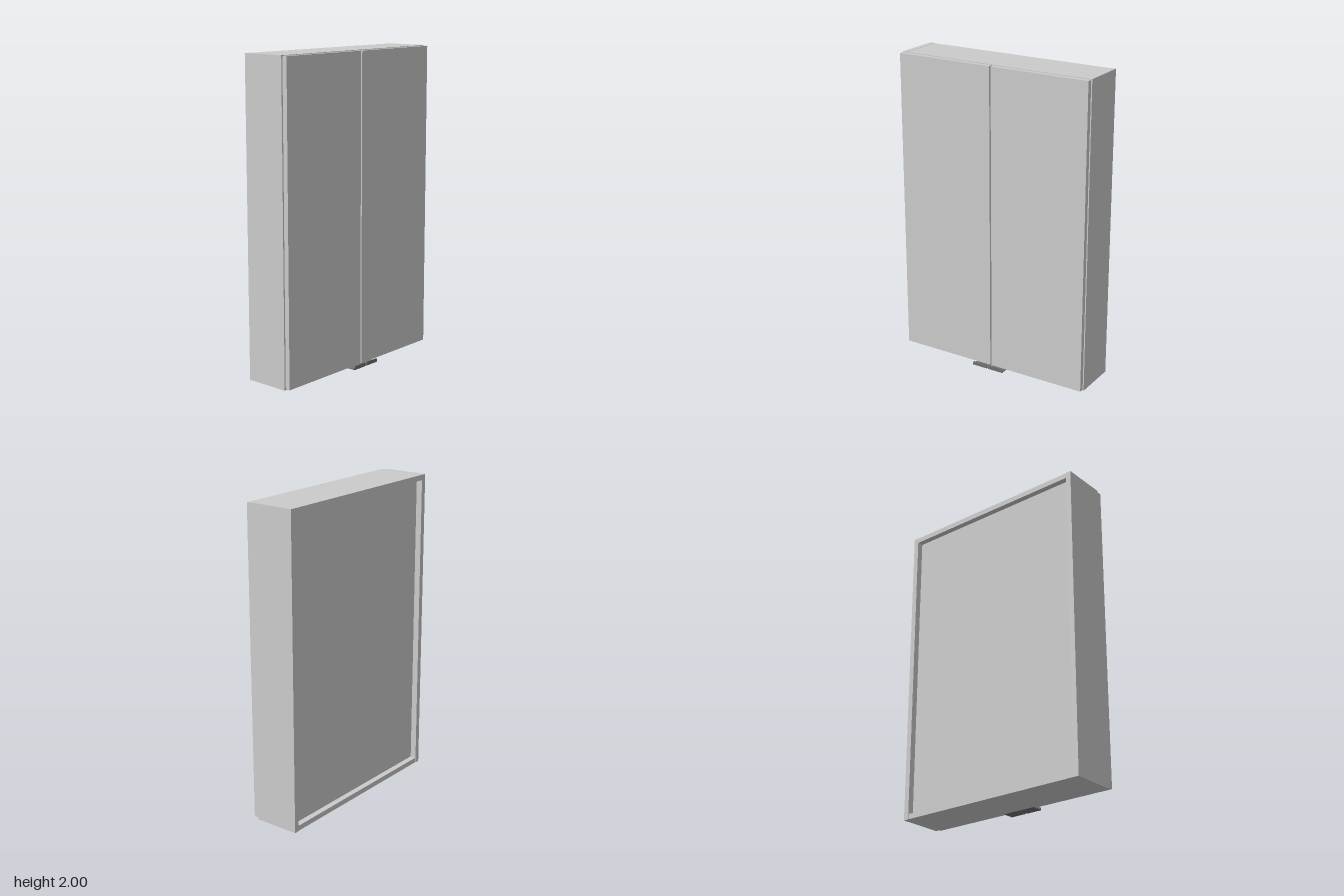
import * as THREE from 'three';

const grey = new THREE.MeshStandardMaterial({ color: 0xcccccc });
const metal = new THREE.MeshStandardMaterial({ color: 0x707070 });

// Box given by its min and max corners
function slab(name, [x0, y0, z0], [x1, y1, z1], material = grey) {
  const mesh = new THREE.Mesh(new THREE.BoxGeometry(x1 - x0, y1 - y0, z1 - z0), material);
  mesh.position.set((x0 + x1) / 2, (y0 + y1) / 2, (z0 + z1) / 2);
  mesh.name = name;
  return mesh;
}

// Angled pull under a door: flat plate plus an upright lip with rounded top corners
function makeHandle(x0, x1) {
  const handle = new THREE.Group();
  const bottom = 0.002, top = 0.026, r = 0.012, thick = 0.004, front = 0.185;
  handle.add(slab('handlePlate', [x0, bottom, 0.107], [x1, bottom + 0.005, front - thick], metal));
  const s = new THREE.Shape();
  s.moveTo(x0, bottom);
  s.lineTo(x1, bottom);
  s.lineTo(x1, top - r);
  s.absarc(x1 - r, top - r, r, 0, Math.PI / 2);
  s.lineTo(x0 + r, top);
  s.absarc(x0 + r, top - r, r, Math.PI / 2, Math.PI);
  s.closePath();
  const lip = new THREE.Mesh(
    new THREE.ExtrudeGeometry(s, { depth: thick, bevelEnabled: false, curveSegments: 6 }), metal);
  lip.position.z = front - thick;
  lip.name = 'handleLip';
  handle.add(lip);
  return handle;
}

export function createModel() {
  const model = new THREE.Group();
  model.name = 'wallCabinet';
  const W = 0.665, t = 0.035, back = -0.19, front = 0.105, inner = W - t;

  // Carcass: sides, top, bottom and recessed back panel
  const carcass = new THREE.Group();
  carcass.name = 'carcass';
  carcass.add(slab('rightSide', [-W, 0, back], [-inner, 2, front]));
  carcass.add(slab('leftSide', [inner, 0, back], [W, 2, front]));
  carcass.add(slab('bottomPanel', [-inner, 0.001, back + 0.002], [inner, t, front - 0.001]));
  carcass.add(slab('topPanel', [-inner, 2 - t, back + 0.002], [inner, 1.999, front - 0.001]));
  carcass.add(slab('backPanel', [-inner, t, -0.15], [inner, 2 - t, -0.137]));

  // Two inner shelves
  for (const y of [0.667, 1.333]) {
    carcass.add(slab('shelf', [-inner, y - t / 2, -0.137], [inner, y + t / 2, front - 0.015]));
  }
  model.add(carcass);

  // Pair of doors with their pulls
  for (const side of [-1, 1]) {
    const a = side * 0.005, b = side * 0.66, c = side * 0.112;
    const name = side > 0 ? 'left' : 'right';
    model.add(slab(name + 'Door', [Math.min(a, b), 0.009, 0.109], [Math.max(a, b), 1.996, 0.141]));
    const handle = makeHandle(Math.min(a, c), Math.max(a, c));
    handle.name = name + 'Handle';
    model.add(handle);
  }
  return model;
}
